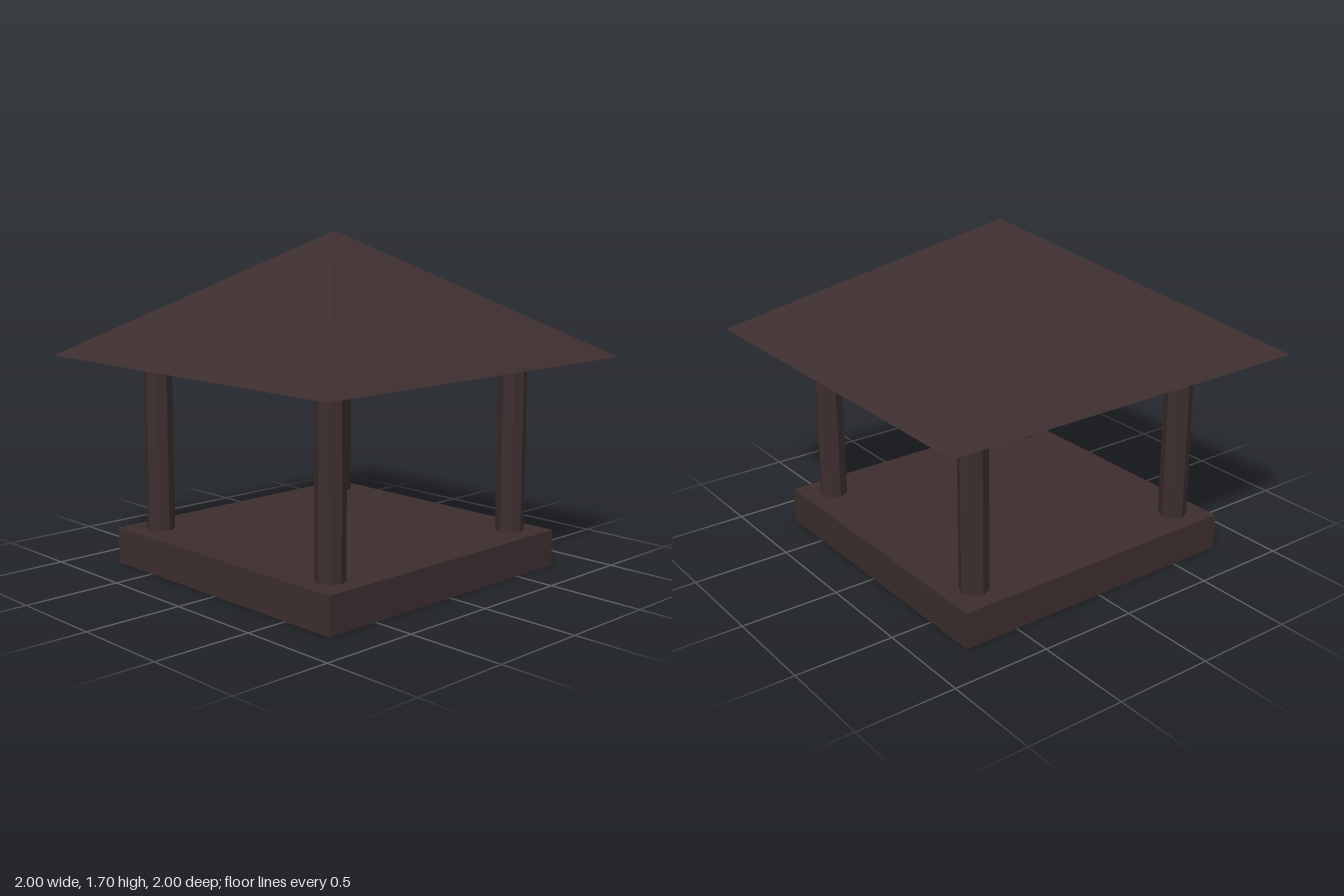
import * as THREE from 'three';

export function createModel() {
  const model = new THREE.Group();
  model.name = 'pavilion';
  const darkWood = new THREE.MeshStandardMaterial({ color: 0x3d2e2f, flatShading: true });
  darkWood.name = 'darkWood';

  const floorTop = 0.185, eaves = 1.075, peak = 1.7;

  function add(name, geometry, x, y, z) {
    const mesh = new THREE.Mesh(geometry, darkWood);
    mesh.name = name;
    mesh.position.set(x, y, z);
    model.add(mesh);
    return mesh;
  }

  // Square floor slab
  add('floor', new THREE.BoxGeometry(1.57, floorTop, 1.57), 0, floorTop / 2, 0);

  // Four eight-sided corner posts
  const post = new THREE.CylinderGeometry(0.072, 0.072, eaves - floorTop, 8);
  for (const [side, x] of [['Left', 0.63], ['Right', -0.63]]) {
    for (const [end, z] of [['front', 0.63], ['back', -0.63]]) {
      add(`${end}${side}Post`, post, x, (floorTop + eaves) / 2, z);
    }
  }

  // Pyramid roof with a closed underside
  const roof = new THREE.ConeGeometry(Math.SQRT2, peak - eaves, 4).rotateY(Math.PI / 4);
  add('roof', roof, 0, (eaves + peak) / 2, 0);

  return model;
}
